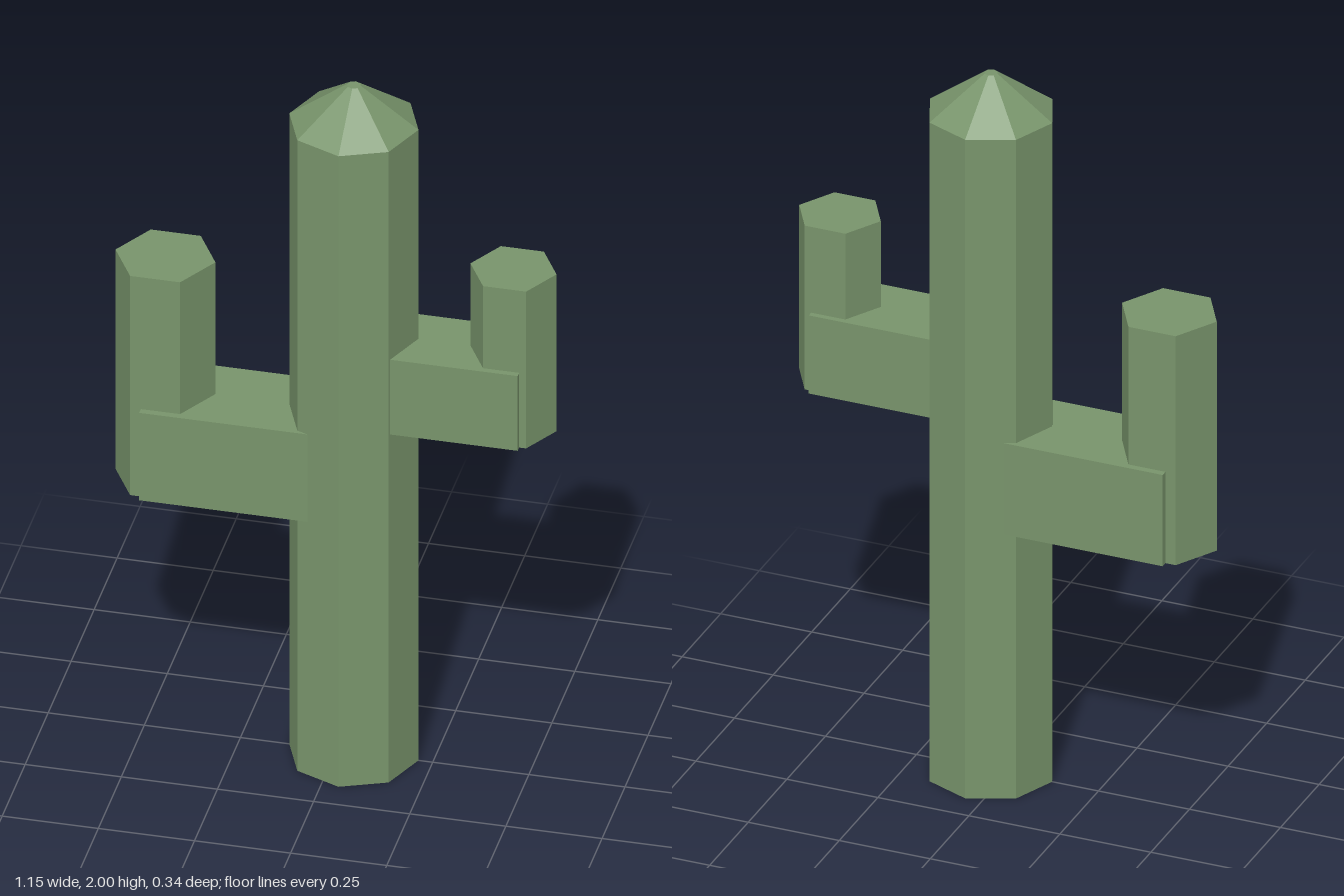
import * as THREE from 'three';

export function createModel() {
  const model = new THREE.Group();
  model.name = 'cactus';
  const green = new THREE.MeshStandardMaterial({ color: 0x78946b });
  green.name = 'cactus green';

  const add = (name, geometry, x, y, parent = model) => {
    // split the corners so that every facet is shaded flat
    const flat = geometry.toNonIndexed();
    flat.computeVertexNormals();
    const mesh = new THREE.Mesh(flat, green);
    mesh.name = name;
    mesh.position.set(x, y, 0);
    parent.add(mesh);
    return mesh;
  };

  // Eight-sided trunk with a blunt tip
  const trunkX = 0.045, trunkR = 0.168, trunkH = 1.89, tipH = 0.11;
  add('trunk', new THREE.CylinderGeometry(trunkR, trunkR, trunkH, 8), trunkX, trunkH / 2);
  add('trunkTip', new THREE.CylinderGeometry(0.018, trunkR, tipH, 8), trunkX, trunkH + tipH / 2);

  // Arm: a square branch from the trunk and a six-sided upright
  const addArm = (name, { x, radius, bottom, top, branchEnd, branchTop, halfDepth }) => {
    const arm = new THREE.Group();
    arm.name = name;
    model.add(arm);
    const h = branchTop - bottom;
    add('branch', new THREE.BoxGeometry(Math.abs(branchEnd - trunkX), h, halfDepth * 2),
      (branchEnd + trunkX) / 2, bottom + h / 2, arm);
    add('upright', new THREE.CylinderGeometry(radius, radius, top - bottom, 6, 1, false, Math.PI / 2),
      x, (top + bottom) / 2, arm);
  };
  addArm('rightArm', {
    x: -0.445, radius: 0.13, bottom: 0.758, top: 1.415,
    branchEnd: -0.482, branchTop: 1.02, halfDepth: 0.131,
  });
  addArm('leftArm', {
    x: 0.46, radius: 0.112, bottom: 1.04, top: 1.51,
    branchEnd: 0.498, branchTop: 1.264, halfDepth: 0.113,
  });

  return model;
}
